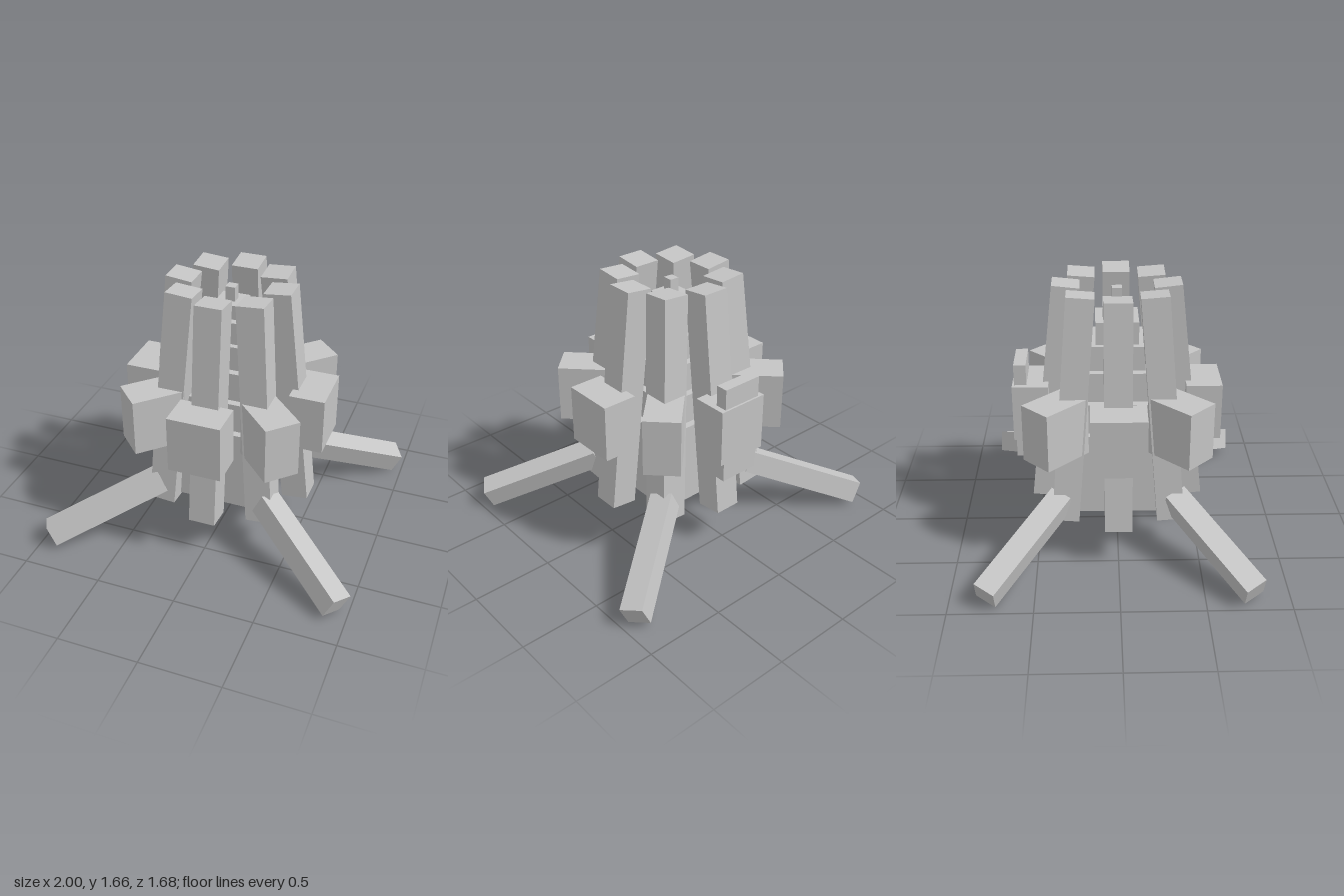
import * as THREE from 'three';

const grey = new THREE.MeshStandardMaterial({ color: 0xc4c4c4 });
grey.name = 'plain grey';

function box(parent, name, size, pos) {
  const mesh = new THREE.Mesh(new THREE.BoxGeometry(...size), grey);
  mesh.name = name;
  mesh.position.set(...pos);
  parent.add(mesh);
  return mesh;
}

export function createModel() {
  const model = new THREE.Group();
  model.name = 'tower';

  // stepped central core: half width, bottom, top
  const core = new THREE.Group();
  core.name = 'steppedCore';
  model.add(core);
  const steps = [
    [0.30, 0.24, 0.77], [0.255, 0.77, 0.96], [0.21, 0.96, 1.145], [0.165, 1.145, 1.30],
    [0.13, 1.30, 1.44], [0.085, 1.44, 1.53], [0.03, 1.53, 1.62],
  ];
  steps.forEach(([h, y0, y1], i) => {
    const name = i === steps.length - 1 ? 'antenna' : 'coreStep';
    box(core, name, [h * 2, y1 - y0, h * 2], [0, (y0 + y1) / 2, 0]);
  });

  // eight inward-leaning columns and their blocks
  const up = new THREE.Vector3(0, 1, 0);
  for (let i = 0; i < 8; i++) {
    const a = (i * Math.PI) / 4;
    const diagonal = i % 2 === 1;
    const sx = Math.sin(a), cz = Math.cos(a);

    // column keeps its square section aligned to the axes
    const bottom = new THREE.Vector3(sx * 0.459, 0.234, cz * 0.459);
    const top = new THREE.Vector3(sx * 0.304, 1.646, cz * 0.304);
    const axis = top.clone().sub(bottom);
    const mid = top.clone().add(bottom).multiplyScalar(0.5);
    const column = box(model, 'column', [0.167, axis.length(), 0.167], mid.toArray());
    column.quaternion.setFromUnitVectors(up, axis.normalize());

    const r = diagonal ? 0.525 : 0.53;
    const size = diagonal ? [0.22, 0.36, 0.33] : [0.33, 0.36, 0.22];
    const block = box(model, 'block', size, [sx * r, 0.86, cz * r]);
    block.rotation.y = a;
  }

  // slab on the rear block and slim post beside the rear column
  box(model, 'rearSlab', [0.26, 0.62, 0.075], [0, 0.86, -0.59]);
  box(model, 'rearPost', [0.07, 0.6, 0.06], [-0.135, 0.8, -0.31]);

  // four splayed legs
  for (const sx of [-1, 1]) {
    for (const sz of [-1, 1]) {
      const leg = box(model, 'leg', [0.78, 0.14, 0.14], [sx * 0.643, 0.223, sz * 0.566]);
      leg.rotation.set(0, -sx * sz * 0.588, -sx * 0.447, 'ZYX');
    }
  }
  return model;
}
